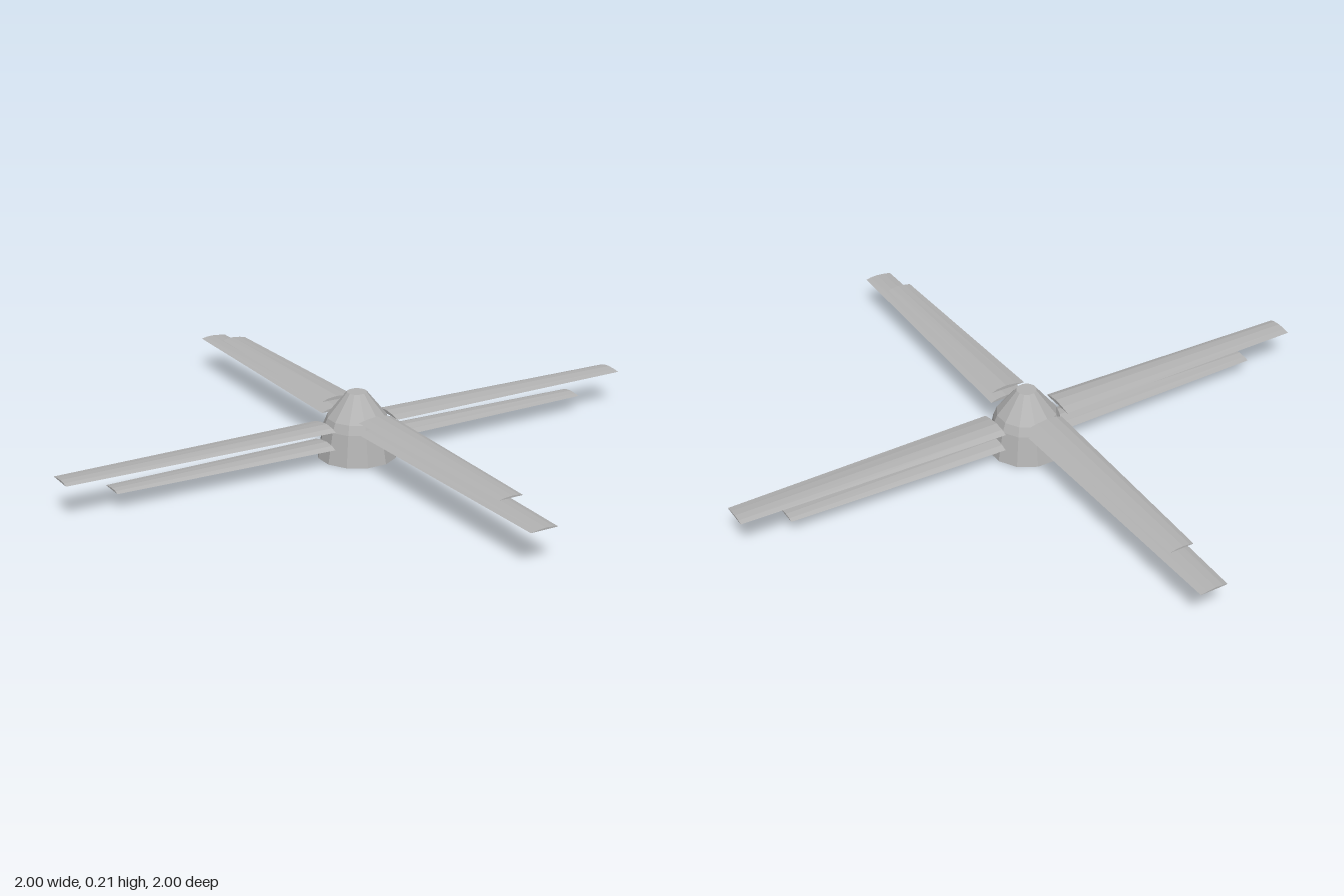
import * as THREE from 'three';

// Thin tapered blade running along +x, flat underside and faceted cambered top
function bladeGeometry(inner, outer, rootHalf, tipHalf) {
  const profile = [[-1, 0], [-0.65, 0.7], [-0.1, 1], [0.5, 0.6], [1, 0]];
  const sections = [[inner, rootHalf, 0.011], [outer, tipHalf, 0.006]];
  const n = profile.length;
  const pos = [];
  const index = [];
  for (const [x, half, height] of sections) {
    for (const [z, y] of profile) pos.push(x, y * height, z * half);
  }
  for (let i = 0; i < n; i++) {
    const j = (i + 1) % n;
    index.push(i, j, n + i, j, n + j, n + i);
  }
  // end caps
  for (let i = 1; i < n - 1; i++) {
    index.push(0, i + 1, i, n, n + i, n + i + 1);
  }
  const geo = new THREE.BufferGeometry();
  geo.setAttribute('position', new THREE.Float32BufferAttribute(pos, 3));
  geo.setIndex(index);
  const flat = geo.toNonIndexed();
  flat.computeVertexNormals();
  return flat;
}

export function createModel() {
  const model = new THREE.Group();
  model.name = 'rotor';
  const metal = new THREE.MeshStandardMaterial({ color: 0xb3b3b3, flatShading: true, side: THREE.DoubleSide });
  metal.name = 'light grey metal';

  // Faceted tapering hub, closed at both ends
  const profile = [[0, 0], [0.127, 0], [0.108, 0.1], [0.096, 0.13], [0.04, 0.2], [0.032, 0.21], [0, 0.21]];
  const hub = new THREE.Mesh(
    new THREE.LatheGeometry(profile.map(([r, y]) => new THREE.Vector2(r, y)), 12, Math.PI / 12),
    metal
  );
  hub.name = 'hub';
  model.add(hub);

  // Blade tiers: four long ones in the middle, a short pair below and above
  const longBlade = bladeGeometry(0.113, 1, 0.062, 0.046);
  const shortBlade = bladeGeometry(0.113, 0.84, 0.06, 0.041);
  const tiers = [
    ['lowerBlade', shortBlade, 0.055, [0, 2]],
    ['middleBlade', longBlade, 0.114, [0, 1, 2, 3]],
    ['upperBlade', shortBlade, 0.151, [1, 3]],
  ];
  for (const [name, geometry, y, quarters] of tiers) {
    for (const q of quarters) {
      const blade = new THREE.Mesh(geometry, metal);
      blade.name = name;
      blade.position.y = y;
      blade.rotation.y = q * Math.PI / 2;
      model.add(blade);
    }
  }
  return model;
}
